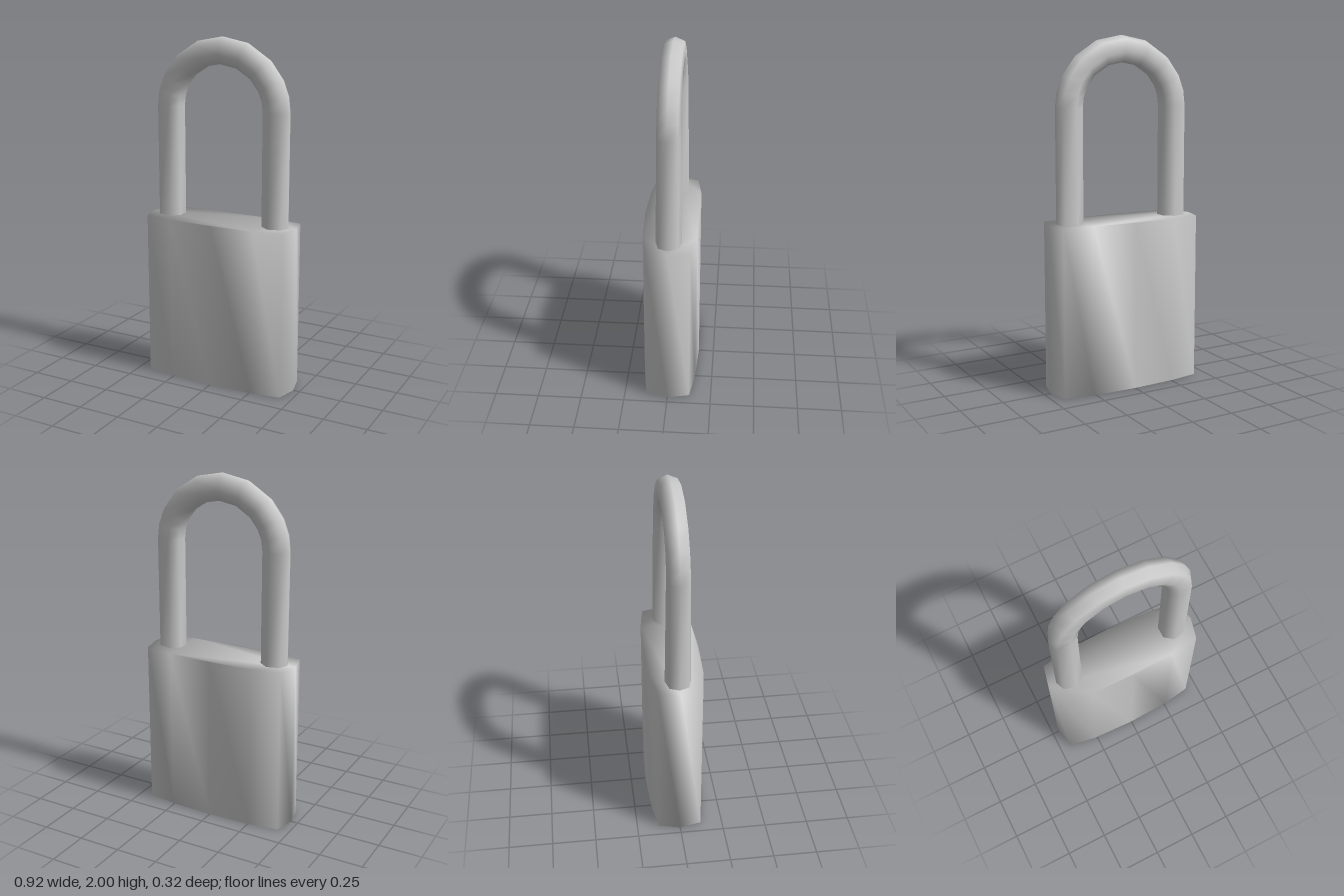
import * as THREE from 'three';
import { mergeVertices } from 'three/addons/utils/BufferGeometryUtils.js';

const BODY_HEIGHT = 0.965;

// Drop split normals so neighbouring faces share soft shading
function smooth(geometry) {
  geometry.deleteAttribute('normal');
  geometry.deleteAttribute('uv');
  const merged = mergeVertices(geometry, 1e-4);
  merged.computeVertexNormals();
  return merged;
}

// Padlock case: a gently bulged outline, extruded upwards
function bodyGeometry() {
  const outline = [
    [0.46, 0], [0.43, 0.124], [0.26, 0.15], [0, 0.16], [-0.26, 0.15], [-0.43, 0.124],
    [-0.46, 0], [-0.43, -0.124], [-0.26, -0.15], [0, -0.16], [0.26, -0.15], [0.43, -0.124],
  ].map(([x, y]) => new THREE.Vector2(x, y));
  const geometry = new THREE.ExtrudeGeometry(new THREE.Shape(outline), { depth: BODY_HEIGHT, bevelEnabled: false });
  geometry.rotateX(-Math.PI / 2);
  return smooth(geometry);
}

// Shackle: seven-sided rings swept up one leg, over the arch and down the other
function shackleGeometry() {
  const halfWidth = 0.335, archBase = 1.605, archRise = 0.32;
  const rings = [{ x: halfWidth, y: BODY_HEIGHT - 0.005, angle: 0, side: 0.073 }];
  for (const degrees of [0, 13, 27, 45, 67.5, 90, 112.5, 135, 153, 167, 180]) {
    const angle = THREE.MathUtils.degToRad(degrees);
    rings.push({
      x: halfWidth * Math.cos(angle),
      y: archBase + archRise * Math.sin(angle),
      angle,
      side: 0.064 - 0.003 * Math.sin(angle),
    });
  }
  rings.push({ ...rings[0], x: -halfWidth, angle: Math.PI });

  const positions = [], index = [], sides = 7;
  for (const { x, y, angle, side } of rings) {
    // Each point is [distance outwards from the path, z]
    const section = [
      [0.075, 0], [0.053, 0.054], [-0.02, side], [-0.073, 0.034],
      [-0.073, -0.034], [-0.02, -side], [0.053, -0.054],
    ];
    for (const [out, z] of section) {
      positions.push(x + out * Math.cos(angle), y + out * Math.sin(angle), z);
    }
  }
  for (let i = 0; i < rings.length - 1; i++) {
    for (let j = 0; j < sides; j++) {
      const a = i * sides + j, b = i * sides + (j + 1) % sides;
      index.push(a, a + sides, b, b, a + sides, b + sides);
    }
  }
  const geometry = new THREE.BufferGeometry();
  geometry.setAttribute('position', new THREE.Float32BufferAttribute(positions, 3));
  geometry.setIndex(index);
  geometry.computeVertexNormals();
  return geometry;
}

export function createModel() {
  const group = new THREE.Group();
  group.name = 'padlock';
  const material = new THREE.MeshStandardMaterial({ color: 0xcccccc });

  const body = new THREE.Mesh(bodyGeometry(), material);
  body.name = 'body';
  const shackle = new THREE.Mesh(shackleGeometry(), material);
  shackle.name = 'shackle';

  group.add(body, shackle);
  return group;
}
